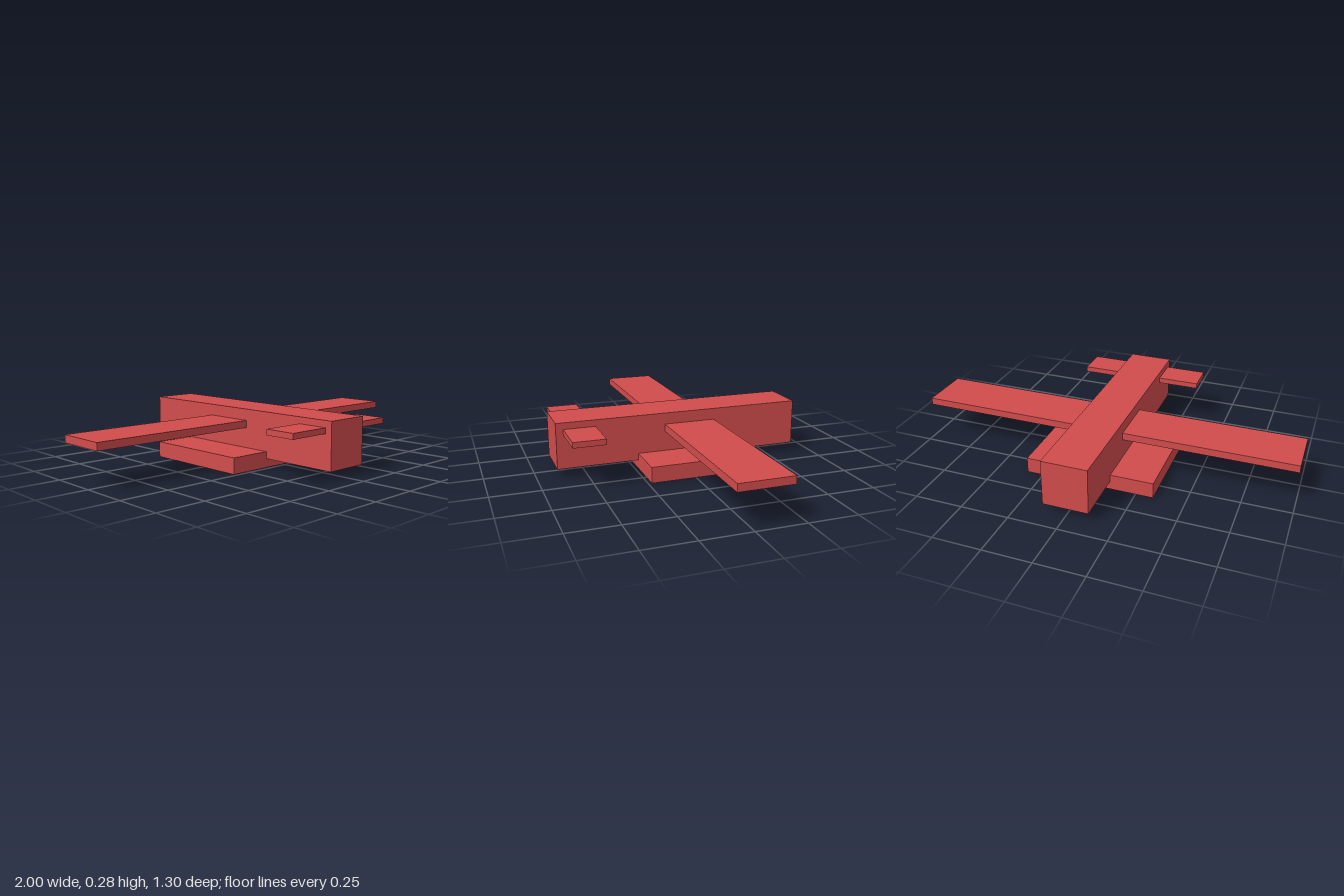
import * as THREE from 'three';

const material = new THREE.MeshStandardMaterial({ color: 0xd14c4c });

// Box spanning the given [min, max] ranges
function block(name, [x0, x1], [y0, y1], [z0, z1]) {
  const mesh = new THREE.Mesh(new THREE.BoxGeometry(x1 - x0, y1 - y0, z1 - z0), material);
  mesh.position.set((x0 + x1) / 2, (y0 + y1) / 2, (z0 + z1) / 2);
  mesh.name = name;
  return mesh;
}

export function createModel() {
  const model = new THREE.Group();
  model.name = 'airplane';
  model.add(
    // Long body
    block('fuselage', [-0.118, 0.115], [0.046, 0.283], [-0.65, 0.65]),
    // Main wing, running straight through the body
    block('mainWing', [-1, 1], [0.186, 0.224], [-0.183, 0.087]),
    // Small wing near the +z end
    block('smallWing', [-0.337, 0.333], [0.22, 0.249], [0.45, 0.613]),
    // Wide slab under the body
    block('undercarriage', [-0.34, 0.337], [0, 0.082], [-0.361, 0.232])
  );
  return model;
}
